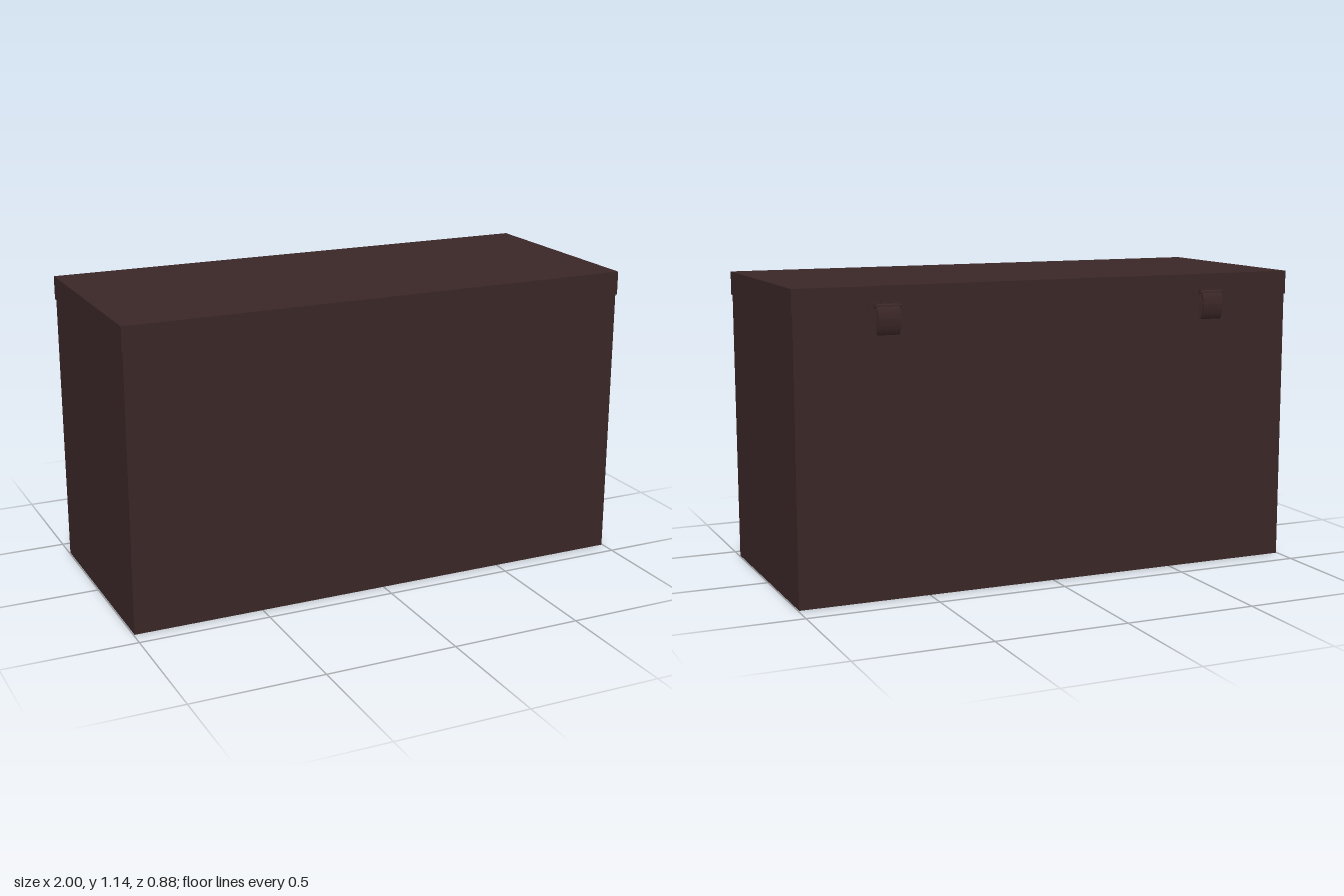
import * as THREE from 'three';

const darkWood = new THREE.MeshStandardMaterial({ color: 0x3a2626 });
darkWood.name = 'dark brown';

const BACK = -0.402; // back wall

function box(name, x0, x1, y0, y1, z0, z1) {
  const mesh = new THREE.Mesh(new THREE.BoxGeometry(x1 - x0, y1 - y0, z1 - z0), darkWood);
  mesh.name = name;
  mesh.position.set((x0 + x1) / 2, (y0 + y1) / 2, (z0 + z1) / 2);
  return mesh;
}

// horizontal rod along x
function rod(name, radius, width, y, z) {
  const mesh = new THREE.Mesh(new THREE.CylinderGeometry(radius, radius, width, 12), darkWood);
  mesh.name = name;
  mesh.rotation.z = Math.PI / 2;
  mesh.position.set(0, y, z);
  return mesh;
}

// curved strap: a thin side profile (distance behind the wall, height) given a width
function strap(width) {
  const s = new THREE.Shape();
  s.moveTo(0.014, 1.078);
  s.quadraticCurveTo(0.032, 1.06, 0.035, 1.025);
  s.quadraticCurveTo(0.034, 0.985, 0.016, 0.967);
  s.lineTo(0.008, 0.975);
  s.quadraticCurveTo(0.026, 0.995, 0.026, 1.025);
  s.quadraticCurveTo(0.023, 1.05, 0.008, 1.066);
  s.closePath();
  const geo = new THREE.ExtrudeGeometry(s, { depth: width, bevelEnabled: false, curveSegments: 8 });
  geo.translate(0, 0, -width / 2).rotateY(Math.PI / 2);
  const mesh = new THREE.Mesh(geo, darkWood);
  mesh.name = 'latchStrap';
  mesh.position.z = BACK;
  return mesh;
}

function createLatch(x) {
  const latch = new THREE.Group();
  latch.name = x > 0 ? 'leftLatch' : 'rightLatch';
  latch.add(
    strap(0.085),
    rod('latchPin', 0.008, 0.1, 1.07, BACK - 0.014),
    rod('latchCatch', 0.007, 0.07, 0.975, BACK - 0.014),
    box('lidPlate', -0.07, 0.07, 1.055, 1.082, BACK - 0.008, BACK),
    box('bodyPlate', -0.04, 0.04, 0.98, 1.03, BACK - 0.006, BACK)
  );
  // small brackets joining the pin to the lid plate
  for (const side of [-1, 1]) {
    const c = side * 0.046;
    latch.add(box('pinBracket', c - 0.004, c + 0.004, 1.06, 1.079, BACK - 0.02, BACK));
  }
  latch.position.x = x;
  return latch;
}

export function createModel() {
  const chest = new THREE.Group();
  chest.name = 'chest';
  chest.add(
    box('body', -0.996, 0.996, 0, 1.05, -0.401, 0.433),
    box('lid', -1, 1, 1.05, 1.14, -0.404, 0.438),
    createLatch(0.655),
    createLatch(-0.655)
  );
  return chest;
}
